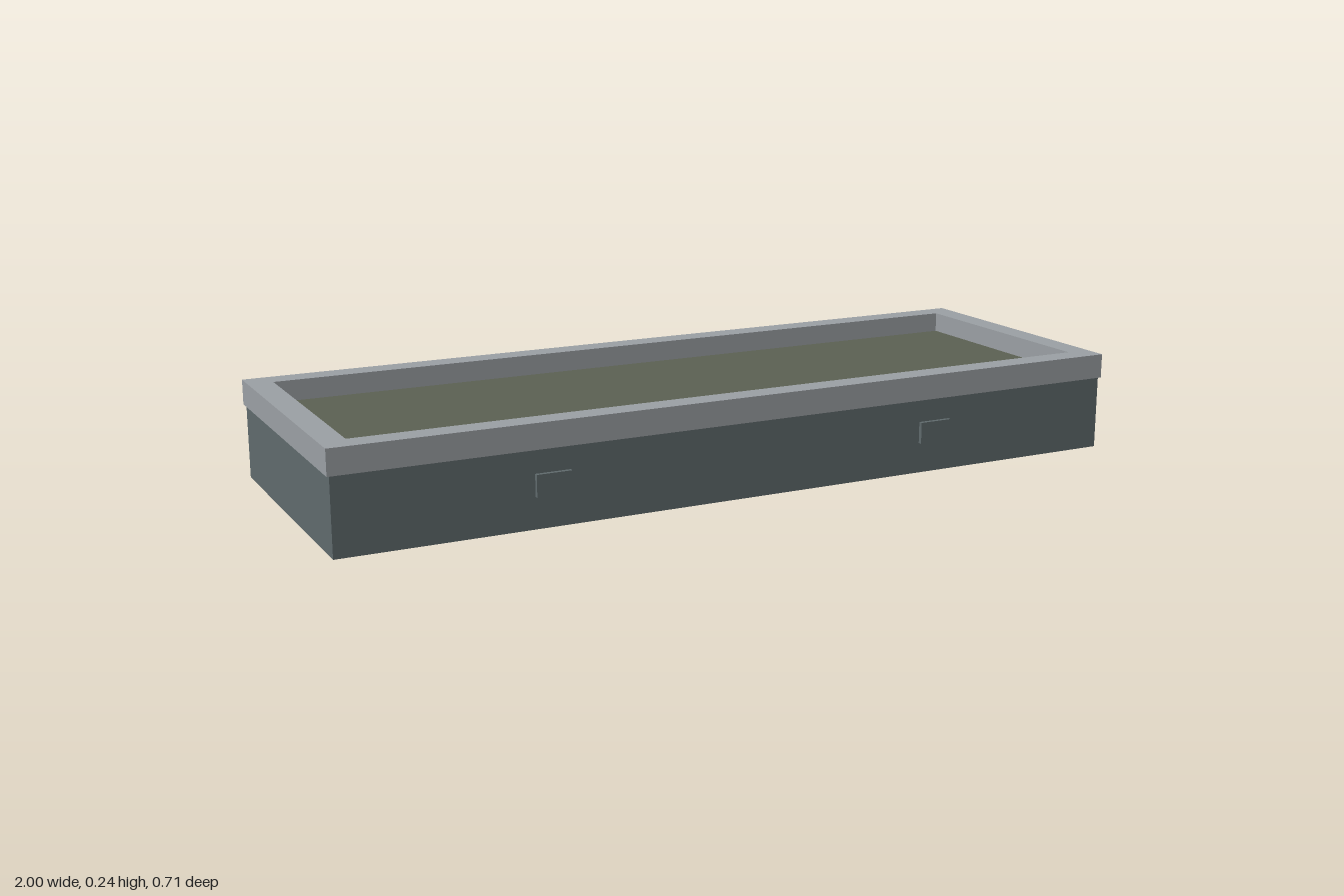
import * as THREE from 'three';

export function createModel() {
  const group = new THREE.Group();
  const mat = (name, color) => {
    const m = new THREE.MeshStandardMaterial({ color });
    m.name = name;
    return m;
  };
  const wallGrey = mat('wall grey', 0x5f6a6c);
  const rimGrey = mat('rim grey', 0x9a9fa3);
  const soilGreen = mat('soil green', 0x5b6052);

  const add = (name, geometry, material, x, y, z) => {
    const mesh = new THREE.Mesh(geometry, material);
    mesh.name = name;
    mesh.position.set(x, y, z);
    group.add(mesh);
    return mesh;
  };
  const box = (name, material, w, h, d, x, y, z) =>
    add(name, new THREE.BoxGeometry(w, h, d), material, x, y, z);

  const zMid = -0.004; // the front tabs shift the trough slightly back

  // Trough walls and the filling seen inside the rim
  box('trough', wallGrey, 1.988, 0.18, 0.692, 0, 0.09, zMid);
  box('filling', soilGreen, 1.9, 0.03, 0.6, 0, 0.175, zMid - 0.002);

  // Overhanging rim: a rectangular frame
  const rect = (Type, w, d) => new Type([
    new THREE.Vector2(-w / 2, -d / 2), new THREE.Vector2(w / 2, -d / 2),
    new THREE.Vector2(w / 2, d / 2), new THREE.Vector2(-w / 2, d / 2),
  ]);
  const frame = rect(THREE.Shape, 2, 0.7);
  frame.holes.push(rect(THREE.Path, 1.88, 0.584));
  const rim = new THREE.ExtrudeGeometry(frame, { depth: 0.06, bevelEnabled: false });
  rim.rotateX(-Math.PI / 2);
  add('rim', rim, rimGrey, 0, 0.18, zMid);

  // Small tabs on the front wall
  for (const x of [-0.5, 0.495]) {
    box('frontTab', wallGrey, 0.084, 0.052, 0.01, x, 0.101, 0.35);
  }

  return group;
}
